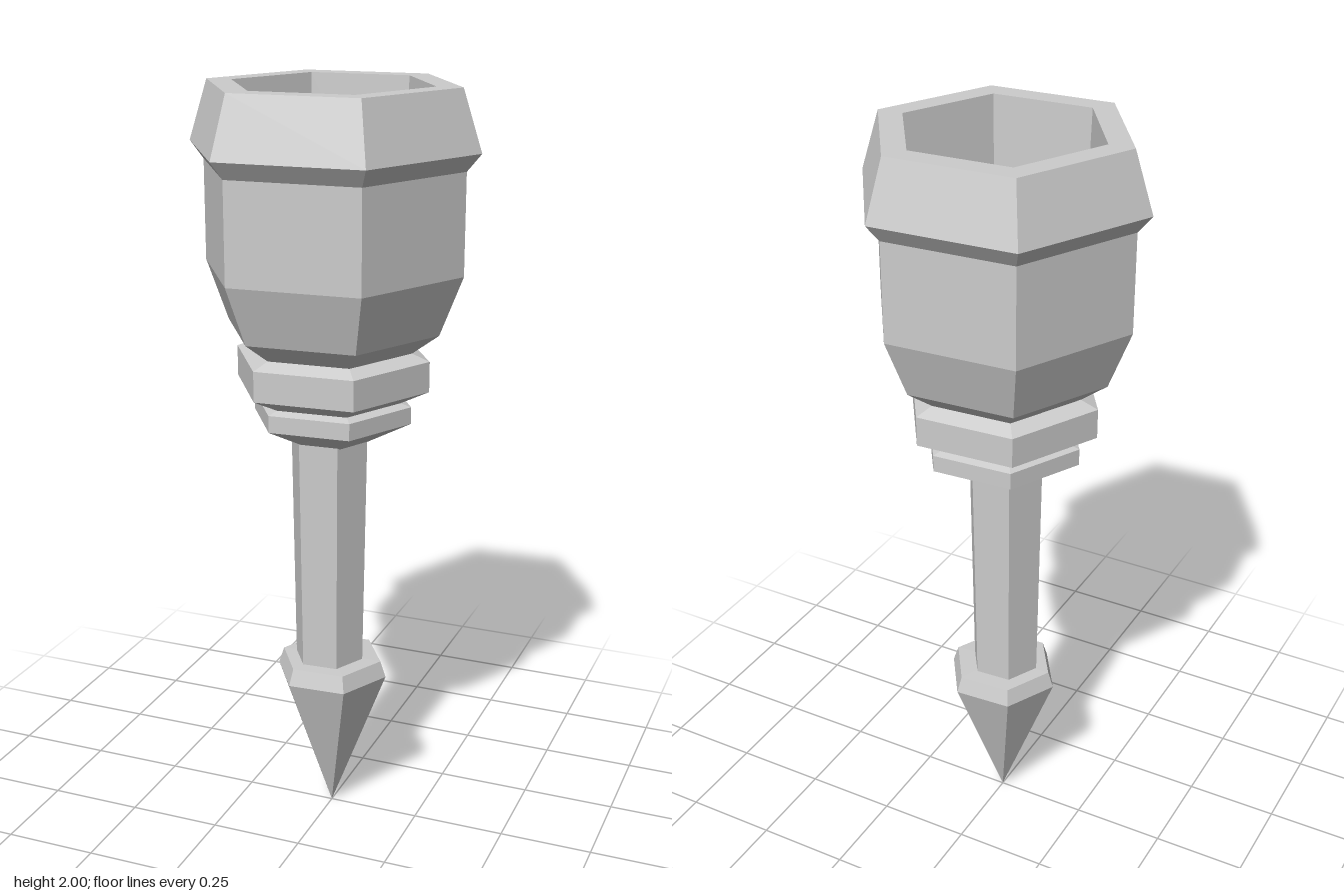
import * as THREE from 'three';

const SIDES = 6;
const TWIST = THREE.MathUtils.degToRad(33.3);

export function createModel() {
  const group = new THREE.Group();
  const material = new THREE.MeshStandardMaterial({ color: 0xcccccc, flatShading: true });

  // Six-sided turned part from [radius, height] pairs, bottom to top
  function turned(name, profile) {
    const points = profile.map(([r, y]) => new THREE.Vector2(r, y));
    const mesh = new THREE.Mesh(new THREE.LatheGeometry(points, SIDES, TWIST), material);
    mesh.name = name;
    group.add(mesh);
    return mesh;
  }

  // Pointed foot with a bevelled shoulder
  turned('spike', [[0, 0], [0.155, 0.41], [0.14, 0.455], [0, 0.46]]);

  // Slightly tapered handle
  const shaft = turned('shaft', [[0.095, 0.45], [0.105, 1.1]]);
  shaft.position.set(-0.006, 0, 0.004);

  // Two stepped rings under the cup
  turned('lowerCollar', [[0, 1.085], [0.1, 1.085], [0.215, 1.145], [0.215, 1.19], [0.18, 1.2]]);
  turned('upperCollar', [[0.18, 1.195], [0.262, 1.235], [0.262, 1.315], [0.215, 1.333]]);

  // Cup body
  turned('cup', [[0.215, 1.333], [0.285, 1.385], [0.345, 1.54], [0.345, 1.805]]);

  // Flared rim, running over the lip into the hollow and across its floor
  turned('rim', [
    [0.345, 1.8], [0.382, 1.845], [0.332, 2], [0.265, 2], [0.245, 1.5], [0, 1.5],
  ]);

  return group;
}
